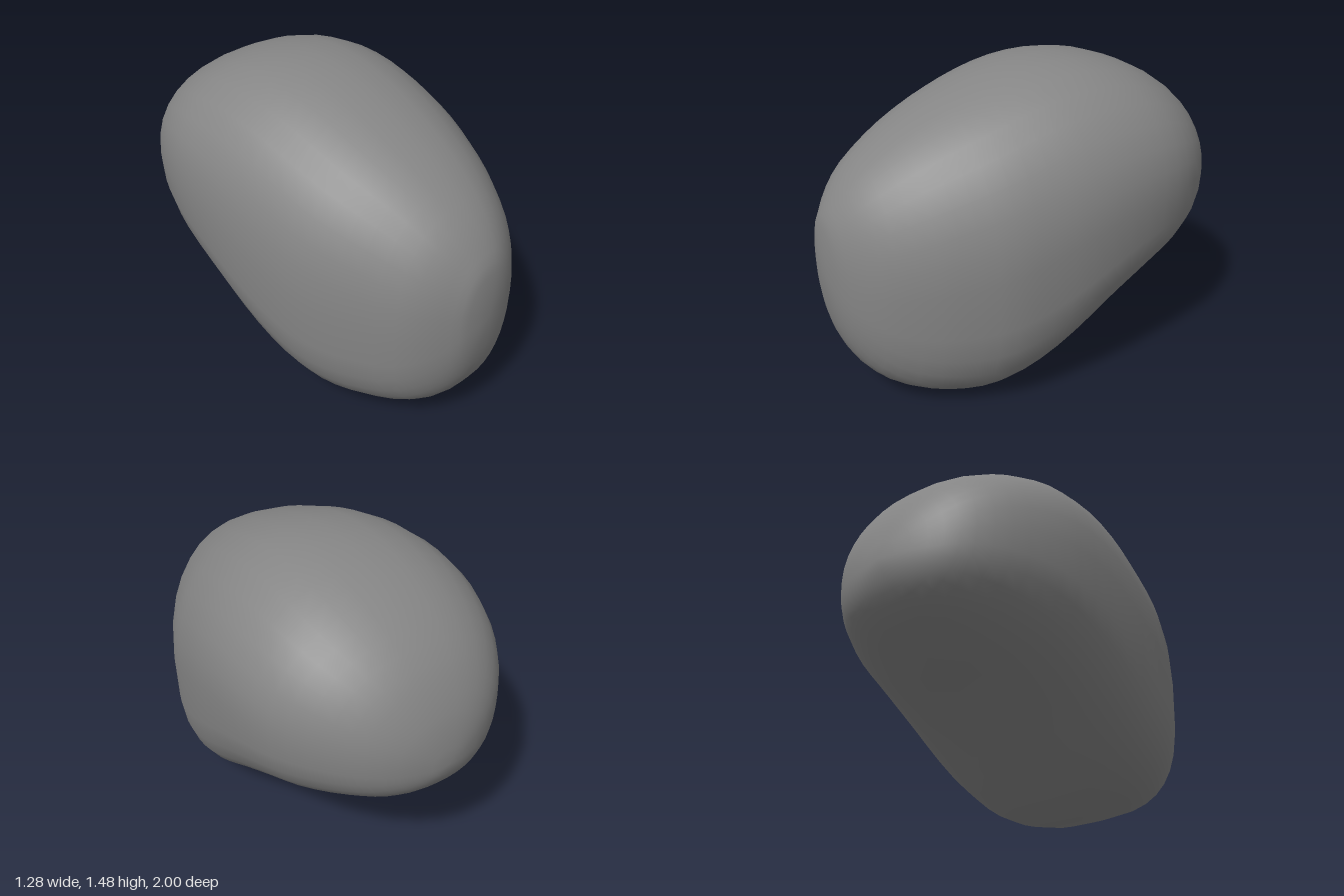
import * as THREE from 'three';

// Cross-sections from front to back: z, top y, bottom y, min x, max x
const STATIONS = [
  [1.0, 0.65, 0.65, -0.02, -0.02],
  [0.985, 0.85, 0.46, -0.14, 0.09],
  [0.95, 0.94, 0.30, -0.21, 0.18],
  [0.89, 1.03, 0.18, -0.30, 0.27],
  [0.80, 1.12, 0.10, -0.39, 0.36],
  [0.65, 1.225, 0.04, -0.48, 0.46],
  [0.50, 1.305, 0.01, -0.55, 0.53],
  [0.35, 1.37, 0.015, -0.595, 0.585],
  [0.18, 1.43, 0.07, -0.62, 0.615],
  [0.0, 1.47, 0.165, -0.635, 0.635],
  [-0.2, 1.48, 0.28, -0.637, 0.638],
  [-0.4, 1.45, 0.375, -0.62, 0.62],
  [-0.57, 1.39, 0.44, -0.575, 0.575],
  [-0.72, 1.305, 0.50, -0.505, 0.49],
  [-0.84, 1.20, 0.555, -0.41, 0.38],
  [-0.92, 1.08, 0.615, -0.31, 0.27],
  [-0.975, 0.95, 0.69, -0.18, 0.14],
  [-1.0, 0.79, 0.79, -0.02, -0.02],
];
const LAST = STATIONS.length - 1;
const RINGS = LAST * 2, SIDES = 32;

// Beyond a tip the outline continues on the opposite side, so the tips are round
const swapSides = ([z, top, bottom, x0, x1]) => [z, bottom, top, x1, x0];
function stationAt(k) {
  if (k < 0) return swapSides(STATIONS[-k]);
  if (k > LAST) return swapSides(STATIONS[2 * LAST - k]);
  return STATIONS[k];
}

// Smooth interpolation between neighbouring stations
function section(t) {
  const s = t * LAST;
  const i = Math.min(Math.floor(s), LAST - 1), f = s - i;
  const [p, q, r, u] = [i - 1, i, i + 1, i + 2].map(stationAt);
  return q.map((b, k) => {
    const a = p[k], d = r[k], e = u[k];
    return b + 0.5 * f * (d - a + f * (2 * a - 5 * b + 4 * d - e + f * (3 * (b - d) + e - a)));
  });
}

const power = (v, n) => Math.sign(v) * Math.pow(Math.abs(v), 2 / n);

function pebbleGeometry() {
  const pos = [], index = [];
  for (let r = 0; r <= RINGS; r++) {
    const [z, top, bottom, x0, x1] = section(r / RINGS);
    const cx = (x0 + x1) / 2, hx = (x1 - x0) / 2;
    const cy = (top + bottom) / 2, hy = (top - bottom) / 2;
    // The underside is flatter, and tilts sideways towards the front
    const tip = 1 - THREE.MathUtils.smoothstep(Math.abs(z), 0.7, 1);
    const flat = THREE.MathUtils.smoothstep(z, -0.9, 0.2) * tip;
    const lean = THREE.MathUtils.smoothstep(z, -0.5, 0.4) * tip;
    for (let s = 0; s < SIDES; s++) {
      const a = (s / SIDES) * Math.PI * 2, c = Math.cos(a), d = Math.sin(a);
      const n = d > 0 ? 2.25 - 0.1 * c : 2.4 + 0.7 * flat;
      const x = cx + hx * power(c, n);
      const tilt = d < 0 ? 0.07 * x * d * lean : 0;
      pos.push(x, Math.max(0, cy + hy * power(d, n) + tilt), z);
    }
  }
  // Skin between rings, with single triangles at the tips
  for (let r = 0; r < RINGS; r++) {
    for (let s = 0; s < SIDES; s++) {
      const a = r * SIDES + s, b = r * SIDES + ((s + 1) % SIDES);
      if (r > 0) index.push(a, a + SIDES, b);
      if (r < RINGS - 1) index.push(b, a + SIDES, b + SIDES);
    }
  }
  // All tip triangles share one vertex, so the shading stays smooth there
  const lastRing = RINGS * SIDES;
  const shared = index.map((v) => (v < SIDES ? 0 : v >= lastRing ? lastRing : v));
  const geo = new THREE.BufferGeometry();
  geo.setAttribute('position', new THREE.Float32BufferAttribute(pos, 3));
  geo.setIndex(shared.length ? shared : index);
  geo.computeVertexNormals();
  return geo;
}

export function createModel() {
  const group = new THREE.Group();
  group.name = 'pebble';
  const stone = new THREE.Mesh(pebbleGeometry(), new THREE.MeshStandardMaterial({ color: 0x858585 }));
  stone.name = 'stoneBody';
  group.add(stone);
  return group;
}
